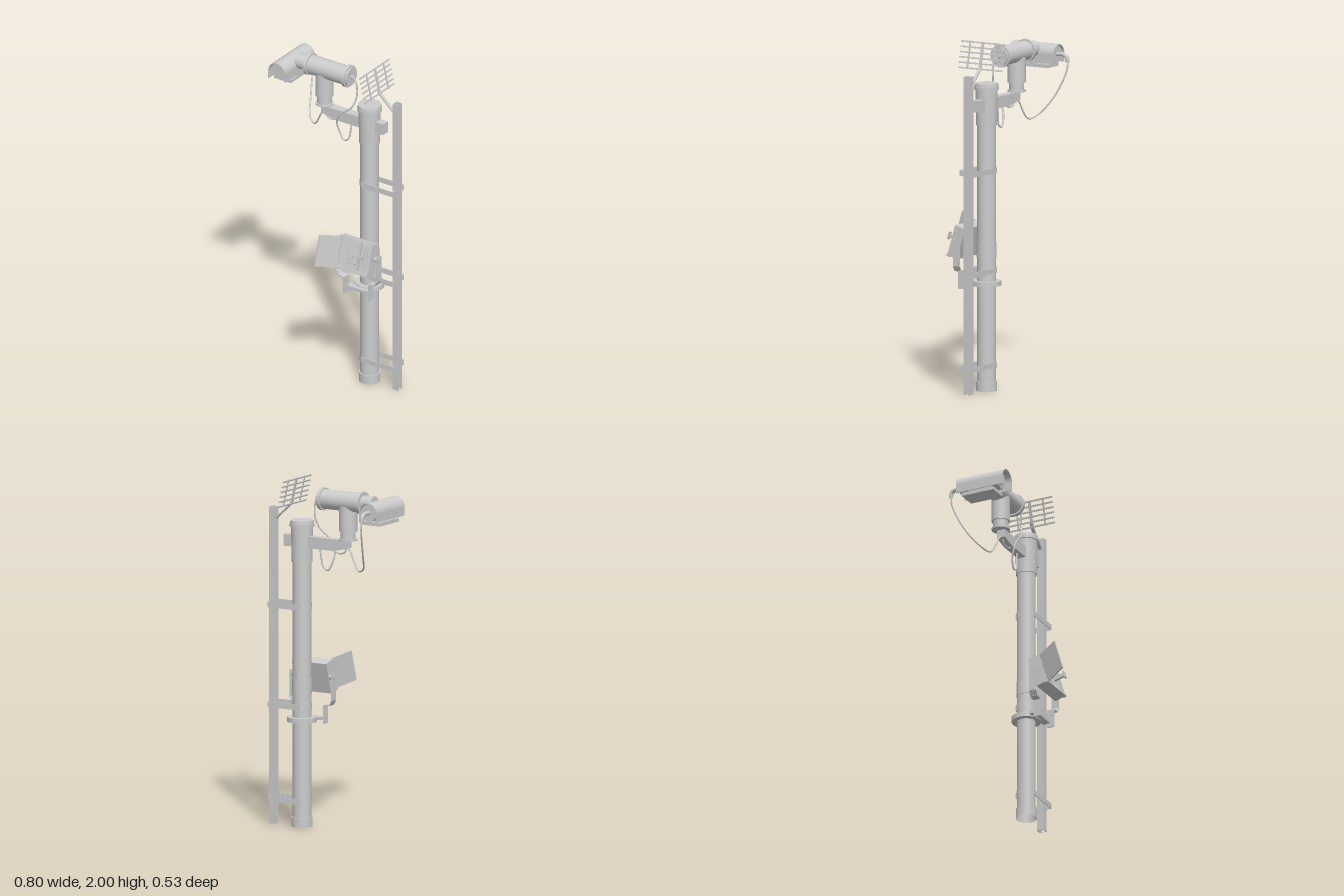
import * as THREE from 'three';

const GREY = new THREE.MeshStandardMaterial({ color: 0xcccccc, side: THREE.DoubleSide });
const PX = 0.19, PZ = -0.053; // pole axis

function add(parent, name, geometry, x = 0, y = 0, z = 0) {
  const m = new THREE.Mesh(geometry, GREY);
  m.name = name;
  m.position.set(x, y, z);
  parent.add(m);
  return m;
}
function group(parent, name) {
  const g = new THREE.Group();
  g.name = name;
  parent.add(g);
  return g;
}
// Box given by its min and max on each axis
function span(parent, name, x0, x1, y0, y1, z0, z1) {
  return add(parent, name, new THREE.BoxGeometry(x1 - x0, y1 - y0, z1 - z0),
    (x0 + x1) / 2, (y0 + y1) / 2, (z0 + z1) / 2);
}
// Cylinder between two heights, or two x positions when lying down
function upright(parent, name, rTop, rBottom, y0, y1, x, z, open = false) {
  return add(parent, name, new THREE.CylinderGeometry(rTop, rBottom, y1 - y0, 32, 1, open), x, (y0 + y1) / 2, z);
}
function lying(parent, name, r, x0, x1, y, z) {
  return add(parent, name, new THREE.CylinderGeometry(r, r, x1 - x0, 32).rotateZ(Math.PI / 2), (x0 + x1) / 2, y, z);
}
function cable(parent, name, pts, r) {
  const curve = new THREE.CatmullRomCurve3(pts.map(p => new THREE.Vector3(...p)));
  return add(parent, name, new THREE.TubeGeometry(curve, 48, r, 8));
}
// Flat strap following an xy path, with thickness t and width in z
function strap(parent, name, pts, t, z0, z1) {
  const s = group(parent, name);
  for (let i = 0; i + 1 < pts.length; i++) {
    const [ax, ay] = pts[i], [bx, by] = pts[i + 1];
    const m = add(s, name + 'Segment', new THREE.BoxGeometry(Math.hypot(bx - ax, by - ay) + t, t, z1 - z0),
      (ax + bx) / 2, (ay + by) / 2, (z0 + z1) / 2);
    m.rotation.z = Math.atan2(by - ay, bx - ax);
  }
  return s;
}

function buildPole(root) {
  const g = group(root, 'pole');
  upright(g, 'baseSocket', 0.06, 0.06, 0, 0.055, PX, PZ, true);
  add(g, 'baseSocketRim', new THREE.RingGeometry(0.045, 0.06, 32).rotateX(-Math.PI / 2), PX, 0.055, PZ);
  upright(g, 'lowerTube', 0.053, 0.053, 0.01, 0.8, PX, PZ, true);
  upright(g, 'jointSleeve', 0.056, 0.056, 0.76, 0.85, PX, PZ);
  upright(g, 'upperTube', 0.053, 0.053, 0.8, 1.6, PX, PZ, true);
  upright(g, 'topSleeve', 0.063, 0.059, 1.52, 1.73, PX, PZ);
  upright(g, 'capFlange', 0.071, 0.071, 1.725, 1.742, PX, PZ);
  upright(g, 'cap', 0.066, 0.068, 1.742, 1.76, PX, PZ);
}

function buildRail(root) {
  const g = group(root, 'rail');
  // C-channel with its slot facing outwards
  span(g, 'railWeb', 0.362, 0.366, 0, 1.82, PZ - 0.02, PZ + 0.02);
  for (const s of [-1, 1]) {
    const side = (name, x0, x1, a, b) =>
      span(g, name, x0, x1, 0, 1.82, PZ + Math.min(s * a, s * b), PZ + Math.max(s * a, s * b));
    side('railFlange', 0.362, 0.4, 0.017, 0.021);
    side('railLip', 0.396, 0.4, 0.009, 0.021);
  }
  // Straps from the pole to the rail
  for (const y of [0.148, 0.69, 1.264]) {
    for (const s of [-1, 1]) {
      const z = PZ + s * 0.056;
      span(g, 'railStrap', 0.17, 0.386, y - 0.016, y + 0.016, z - 0.002, z + 0.002);
      const inner = PZ + s * 0.02;
      span(g, 'railStrapEnd', 0.383, 0.387, y - 0.016, y + 0.016, Math.min(z, inner), Math.max(z, inner));
    }
    add(g, 'railStrapLoop', new THREE.CylinderGeometry(0.057, 0.057, 0.032, 24, 1, true, Math.PI, Math.PI), PX, y, PZ);
  }
}

function buildGrid(root) {
  const g = group(root, 'antennaGrid');
  strap(g, 'gridArm', [[0.254, 1.865], [0.265, 1.845], [0.375, 1.745]], 0.008, PZ - 0.01, PZ + 0.01);
  const panel = group(g, 'gridPanel');
  panel.position.set(0.24, 1.92, PZ);
  panel.rotation.z = Math.atan2(0.037, 0.16);
  for (let i = 0; i < 6; i++)
    add(panel, 'gridBar', new THREE.BoxGeometry(0.005, 0.009, 0.296), 0, -0.075 + i * 0.03, 0);
  for (const z of [-0.085, 0, 0.085])
    add(panel, 'gridUpright', new THREE.BoxGeometry(0.006, 0.162, z ? 0.008 : 0.016), 0.004, 0, z);
}

function buildArmAndHead(root) {
  const arm = group(root, 'supportArm');
  const s = new THREE.Shape();
  [[-0.127, 1.672], [0.3, 1.672], [0.3, 1.605], [-0.03, 1.605], [-0.127, 1.625]].forEach(
    ([x, y], i) => (i ? s.lineTo(x, y) : s.moveTo(x, y)));
  add(arm, 'armBeam', new THREE.ExtrudeGeometry(s, { depth: 0.05, bevelEnabled: false }), 0, 0, PZ - 0.025);

  const h = group(root, 'head'), y = 1.895, z = -0.056;
  lying(h, 'headBody', 0.056, -0.215, 0.045, y, z);
  lying(h, 'headLeftFlange', 0.065, 0.034, 0.054, y, z);
  lying(h, 'headRightFlange', 0.065, -0.228, -0.209, y, z);
  lying(h, 'headEndCap', 0.054, 0.05, 0.065, y, z);
  lying(h, 'cameraStub', 0.045, -0.3, -0.22, y, z);
  lying(h, 'cableGland', 0.011, 0.06, 0.085, y, z);
  upright(h, 'neck', 0.052, 0.052, 1.725, 1.88, -0.122, z);
  upright(h, 'neckLower', 0.043, 0.043, 1.68, 1.73, -0.122, z);
  upright(h, 'neckFlange', 0.052, 0.052, 1.672, 1.682, -0.122, z);
}

function buildCamera(root) {
  const g = group(root, 'cameraUnit'), x = -0.344, y = 1.868;
  // Arched sunshield, open below
  const s = new THREE.Shape();
  s.moveTo(-0.058, -0.05).lineTo(-0.058, 0);
  s.absarc(0, 0, 0.058, Math.PI, 0, true);
  s.lineTo(0.058, -0.05).lineTo(0.053, -0.05).lineTo(0.053, 0);
  s.absarc(0, 0, 0.053, 0, Math.PI, false);
  s.lineTo(-0.053, -0.05);
  add(g, 'sunshield', new THREE.ExtrudeGeometry(s, { depth: 0.298, bevelEnabled: false, curveSegments: 20 }), x, y, -0.198);
  const along = (name, r, z0, z1) =>
    add(g, name, new THREE.CylinderGeometry(r, r, z1 - z0, 28).rotateX(Math.PI / 2), x, y, (z0 + z1) / 2);
  along('cameraBody', 0.05, -0.185, 0.055);
  along('lensRim', 0.052, 0.035, 0.062);
  along('lens', 0.036, 0.05, 0.067);
  span(g, 'cameraFoot', x - 0.035, x + 0.035, 1.8, 1.83, -0.13, 0.02);
  span(g, 'cameraBasePlate', x - 0.058, x + 0.058, 1.792, 1.812, -0.16, 0.04);
  span(g, 'cameraSideLink', -0.31, -0.28, 1.8, 1.91, -0.08, -0.03);
  cable(g, 'rearElbow', [[x, y, -0.18], [x, y, -0.23], [x, 1.855, -0.252], [x, 1.825, -0.258]], 0.012);
}

function buildCables(root) {
  const g = group(root, 'cables');
  cable(g, 'cameraCable', [[-0.344, 1.84, -0.258], [-0.338, 1.78, -0.255], [-0.307, 1.63, -0.19],
    [-0.258, 1.525, -0.11], [-0.206, 1.508, -0.08], [-0.137, 1.615, -0.06], [-0.11, 1.64, -0.056]], 0.005);
  cable(g, 'headCable', [[0.075, 1.895, -0.056], [0.1, 1.88, -0.047], [0.108, 1.79, -0.045], [0.085, 1.72, -0.03],
    [0.01, 1.655, -0.02], [-0.015, 1.6, -0.025], [-0.01, 1.54, -0.04], [0.02, 1.485, -0.045],
    [0.05, 1.5, -0.045], [0.065, 1.57, -0.05], [0.07, 1.62, -0.05]], 0.005);
  cable(g, 'underArmCable', [[-0.11, 1.64, -0.05], [-0.1, 1.605, -0.05], [-0.07, 1.59, -0.05], [0.015, 1.615, -0.05]], 0.005);
}

function buildCabinet(root) {
  const mount = group(root, 'cabinetMount');
  const ring = new THREE.Shape().absarc(0, 0, 0.084, 0, Math.PI * 2, false);
  ring.holes.push(new THREE.Path().absarc(0, 0, 0.054, 0, Math.PI * 2, true));
  add(mount, 'clampRing', new THREE.ExtrudeGeometry(ring, { depth: 0.028, bevelEnabled: false, curveSegments: 24 })
    .rotateX(-Math.PI / 2), PX, 0.602, PZ);
  span(mount, 'clampPlate', 0.105, 0.275, 0.607, 0.625, 0.01, 0.055);
  for (const s of [-1, 1]) {
    strap(mount, 'mountStrap', [[0.14, 0.87], [0.14, 0.72], [0.125, 0.692], [0.085, 0.686], [0.085, 0.585]]
      .map(([x, y]) => [PX + s * x, y]), 0.006, 0.037, 0.082);
    lying(mount, 'pivotBolt', 0.014, PX + s * 0.13 - 0.015, PX + s * 0.13 + 0.015, 0.852, 0.06);
  }

  // Tilted cabinet, open at the front
  const g = group(root, 'cabinet');
  g.position.set(PX, 0.852, 0.078);
  g.rotation.x = -0.29;
  const w = 0.116, h = 0.092, d = 0.034, t = 0.006;
  span(g, 'cabinetBack', -w, w, -h, h, -d, -d + t);
  for (const s of [-1, 1]) {
    add(g, 'cabinetSide', new THREE.BoxGeometry(t, 2 * h, 2 * d), s * (w - t / 2), 0, 0);
    add(g, 'cabinetEnd', new THREE.BoxGeometry(2 * w, t, 2 * d), 0, s * (h - t / 2), 0);
  }
  span(g, 'innerPanel', -w + t, w - t, -h + t, h - t, -0.008, 0.004);
  span(g, 'divider', 0.028, 0.034, -h + t, h - t, 0, 0.026);
  span(g, 'lowerSill', -w, w, -h - 0.006, -h + 0.01, 0.02, 0.04);
  // Fittings on the panel
  for (let i = 0; i < 3; i++) {
    span(g, 'switchRow', -0.095, -0.045, -0.062 + i * 0.024, -0.05 + i * 0.024, 0, 0.016);
    span(g, 'terminalBlock', 0.045 + i * 0.02, 0.06 + i * 0.02, -0.06, 0.065, 0, 0.02);
  }
  span(g, 'display', -0.095, 0.012, 0.03, 0.068, 0, 0.01);
  add(g, 'dialRim', new THREE.TorusGeometry(0.022, 0.004, 8, 24), -0.002, -0.03, 0.008);
  add(g, 'dial', new THREE.CylinderGeometry(0.015, 0.015, 0.024, 20).rotateX(Math.PI / 2), -0.002, -0.03, 0.01);
  span(g, 'handleStem', 0.047, 0.062, -0.01, 0.01, 0.015, 0.09);
  span(g, 'handleGrip', 0.045, 0.064, -0.022, 0.022, 0.083, 0.092);

  // Door swung open on the right-hand edge
  const door = group(g, 'door');
  door.position.set(-0.1, 0, d);
  door.rotation.y = -Math.atan2(0.128, -0.06);
  span(door, 'doorPanel', 0, 0.145, -h, h, -0.004, 0.004);
  for (const y of [-0.05, 0.05]) upright(door, 'hinge', 0.006, 0.006, y - 0.015, y + 0.015, 0, 0);
}

export function createModel() {
  const root = new THREE.Group();
  root.name = 'cameraMast';
  [buildPole, buildRail, buildGrid, buildArmAndHead, buildCamera, buildCables, buildCabinet].forEach(f => f(root));
  return root;
}
